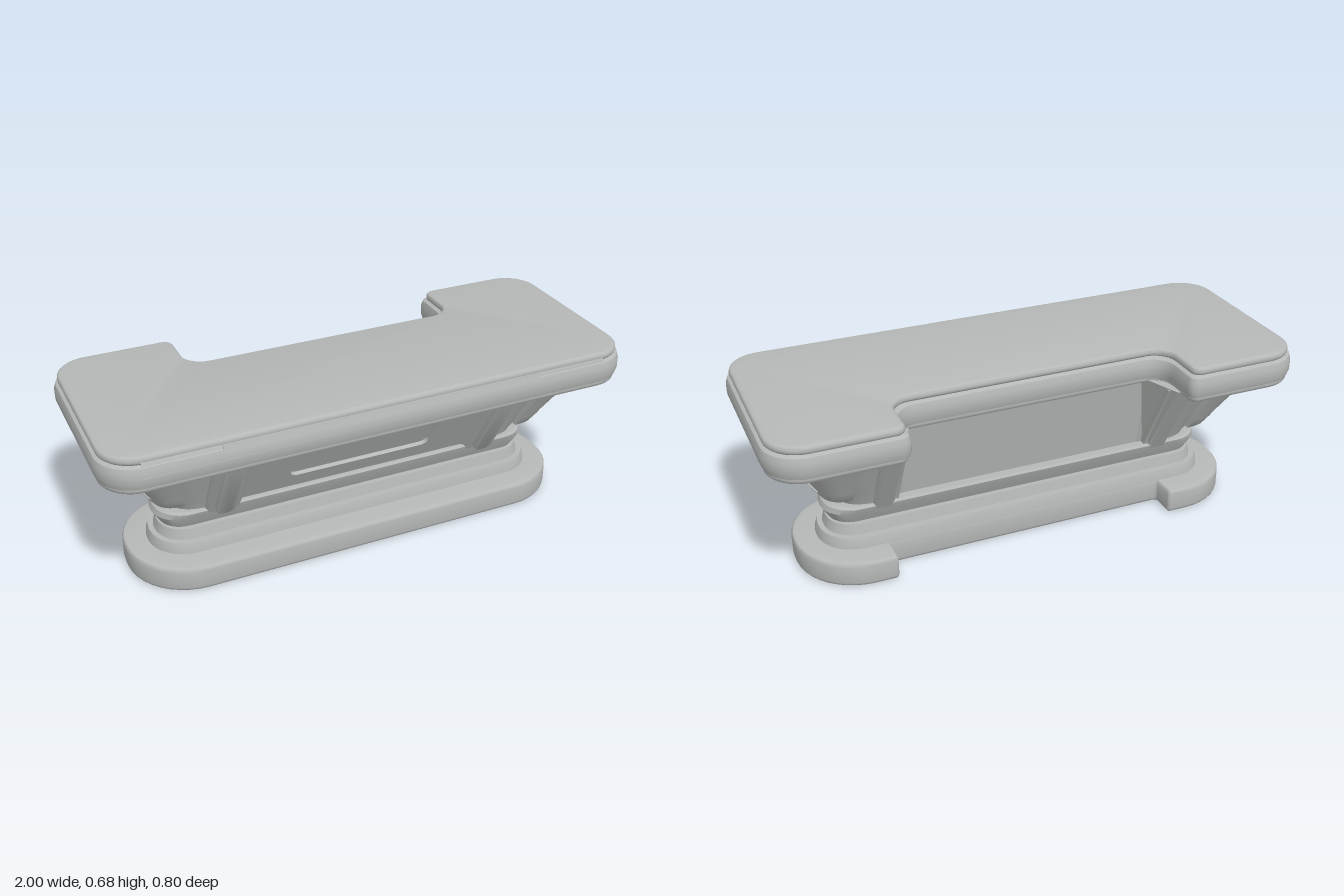
import * as THREE from 'three';
import { toCreasedNormals } from 'three/addons/utils/BufferGeometryUtils.js';

const grey = new THREE.MeshStandardMaterial({ color: 0xb5b8b6 });
grey.name = 'satin grey';

function add(parent, name, geometry) {
  const mesh = new THREE.Mesh(toCreasedNormals(geometry, 0.55), grey);
  mesh.name = name;
  parent.add(mesh);
  return mesh;
}

// Skin closed convex rings stacked from bottom to top, with both ends capped
function loft(rings) {
  const n = rings[0].length, pos = [], idx = [];
  for (const r of rings) for (const p of r) pos.push(...p);
  for (let i = 0; i < rings.length - 1; i++) {
    for (let j = 0; j < n; j++) {
      const a = i * n + j, b = i * n + (j + 1) % n;
      idx.push(a, b, b + n, a, b + n, a + n);
    }
  }
  const top = (rings.length - 1) * n;
  for (let j = 1; j < n - 1; j++) {
    idx.push(0, j + 1, j);
    idx.push(top, top + j, top + j + 1);
  }
  const g = new THREE.BufferGeometry();
  g.setAttribute('position', new THREE.Float32BufferAttribute(pos, 3));
  g.setIndex(idx);
  return g.toNonIndexed();
}

// Rounded rectangle ring, running front -> left -> back -> right
function roundRing(hx, hz, r, y) {
  const pts = [];
  for (let q = 0; q < 4; q++) {
    const sx = q < 2 ? 1 : -1, sz = q === 0 || q === 3 ? 1 : -1;
    for (let k = 0; k <= 8; k++) {
      const a = (q + k / 8) * Math.PI / 2;
      pts.push([sx * (hx - r) + r * Math.sin(a), y, sz * (hz - r) + r * Math.cos(a)]);
    }
  }
  return pts;
}

// Rounded end ring from a flat inner side at xs to the outer side at xo
function endRing(xs, xo, hz, y, recess = 0) {
  const pts = [];
  for (let d = 90; d >= -90; d -= 5) {
    const a = d * Math.PI / 180;
    const fx = Math.pow(Math.max(Math.cos(a), 0), 0.6);
    const fz = Math.sign(d) * Math.pow(Math.abs(Math.sin(a)), 0.6);
    const inset = Math.abs(d) <= 37 ? recess : 0;
    pts.push([xs + (xo - xs) * fx - inset, y, hz * fz]);
  }
  return pts;
}

// Polygon with individually rounded corners, each given as [x, y, radius]
function roundedShape(corners) {
  const s = new THREE.Shape(), n = corners.length;
  corners.forEach(([x, y, r], i) => {
    const p = new THREE.Vector2(x, y);
    const toward = (c) => new THREE.Vector2(c[0], c[1]).sub(p).setLength(r).add(p);
    const a = toward(corners[(i + n - 1) % n]), b = toward(corners[(i + 1) % n]);
    if (i === 0) s.moveTo(a.x, a.y); else s.lineTo(a.x, a.y);
    const k = 0.45; // cubic handles close to a circular arc
    s.bezierCurveTo(a.x + (p.x - a.x) * (1 - k) , a.y + (p.y - a.y) * (1 - k),
      b.x + (p.x - b.x) * (1 - k), b.y + (p.y - b.y) * (1 - k), b.x, b.y);
  });
  s.closePath();
  return s;
}

// Outline in plan with a cut-out in the back edge
function notchedShape(hx, hz, r, nx, nz, rOut, rIn) {
  return roundedShape([
    [-hx, -hz, r], [hx, -hz, r], [hx, hz, r], [nx, hz, rOut], [nx, nz, rIn],
    [-nx, nz, rIn], [-nx, hz, rOut], [-hx, hz, r]]);
}

// Horizontal slab between two heights with rounded rims
function slab(shape, y0, y1, bt, bs, segments = 3) {
  const g = new THREE.ExtrudeGeometry(shape, {
    depth: y1 - y0 - 2 * bt, bevelThickness: bt, bevelSize: bs, bevelOffset: -bs,
    bevelSegments: segments, curveSegments: 10 });
  return g.rotateX(-Math.PI / 2).translate(0, y0 + bt, 0);
}

export function createModel() {
  const model = new THREE.Group();
  model.name = 'receptionDesk';

  // Foot with its back cut-out, and two tapered tiers
  add(model, 'foot', slab(notchedShape(0.87, 0.25, 0.235, 0.55, 0.15, 0.012, 0.01), 0, 0.095, 0.014, 0.012));
  add(model, 'lowerTier', loft([roundRing(0.785, 0.155, 0.145, 0.09), roundRing(0.782, 0.152, 0.142, 0.115),
    roundRing(0.775, 0.146, 0.138, 0.135)]));
  add(model, 'upperTier', loft([roundRing(0.757, 0.121, 0.112, 0.13), roundRing(0.746, 0.112, 0.104, 0.175)]));

  // Belt around the bottom of the body
  add(model, 'beltRail', loft([roundRing(0.735, 0.09, 0.085, 0.17), roundRing(0.765, 0.118, 0.108, 0.222),
    roundRing(0.757, 0.127, 0.115, 0.244), roundRing(0.745, 0.122, 0.11, 0.252)]));

  // Recessed core between the end frames
  const box = (x, zf, zb, y) => [[-x, y, zf], [x, y, zf], [x, y, zb], [-x, y, zb]];
  add(model, 'bodyCore', loft([box(0.5, 0.05, -0.075, 0.175), box(0.5, 0.27, -0.145, 0.56)]));

  // Sloping front: framed panel and pilasters
  const front = new THREE.Group();
  front.name = 'slopedFront';
  front.position.set(0, 0.175, 0.09);
  front.rotation.x = Math.atan(0.215 / 0.375);
  model.add(front);
  const up = (y) => (y - 0.175) * 1.153;
  const panel = roundedShape([[-0.5, up(0.2), 0.01], [0.5, up(0.2), 0.01], [0.5, up(0.555), 0.01], [-0.5, up(0.555), 0.01]]);
  panel.holes.push(roundedShape([[-0.28, up(0.308), 0.03], [0.28, up(0.308), 0.03], [0.28, up(0.548), 0.005], [-0.28, up(0.548), 0.005]]));
  add(front, 'frontPanel', new THREE.ExtrudeGeometry(panel, { depth: 0.015, bevelEnabled: false }).translate(0, 0, -0.035));
  for (const s of [-1, 1]) {
    const strip = roundedShape([[-0.038, up(0.235), 0.034], [0.038, up(0.235), 0.034], [0.038, up(0.56), 0.004], [-0.038, up(0.56), 0.004]]);
    add(front, 'frontPilaster', new THREE.ExtrudeGeometry(strip, {
      depth: 0.022, bevelThickness: 0.006, bevelSize: 0.006, bevelOffset: -0.006, bevelSegments: 2 }).translate(s * 0.528, 0, -0.006));
  }

  // Ends: frame post, rounded neck and recessed shield
  for (const s of [1, -1]) {
    const end = new THREE.Group();
    end.name = s > 0 ? 'leftEnd' : 'rightEnd';
    end.scale.x = s;
    model.add(end);
    const post = (y, z, zb) => [[0.45, y, z - 0.025], [0.468, y, z], [0.585, y, z], [0.595, y, z - 0.012],
      [0.595, y, 0.012 - z], [0.585, y, -z], [0.53, y, -z], [0.518, y, 0.008 - z], [0.455, y, zb]];
    add(end, 'framePost', loft([post(0.175, 0.09, -0.072), post(0.56, 0.311, -0.14)]));
    add(end, 'endNeck', loft([endRing(0.5, 0.7, 0.115, 0.245), endRing(0.5, 0.705, 0.122, 0.262),
      endRing(0.5, 0.74, 0.142, 0.305), endRing(0.5, 0.86, 0.275, 0.555)]));
    add(end, 'endShield', loft([endRing(0.675, 0.768, 0.144, 0.3), endRing(0.676, 0.778, 0.15, 0.306),
      endRing(0.68, 0.805, 0.172, 0.343), endRing(0.681, 0.808, 0.176, 0.35),
      endRing(0.682, 0.813, 0.181, 0.36, 0.024), endRing(0.715, 0.937, 0.302, 0.56, 0.024)]));
  }

  // Layered worktop with a cut-out at the back
  const topShape = (d) => notchedShape(1 - d, 0.398 - d, 0.14 - d, 0.52 + d, 0.182 - d, 0.035, 0.08);
  add(model, 'worktopLowerLip', slab(topShape(0.01), 0.549, 0.59, 0.014, 0.012));
  add(model, 'worktopMiddle', slab(topShape(0), 0.562, 0.656, 0.03, 0.024, 2));
  add(model, 'worktopUpper', slab(topShape(0.015), 0.652, 0.683, 0.012, 0.012));

  // Sloped front fascia closing the groove, with a thin strip on it
  const profile = new THREE.Shape([[0.34, 0.6], [0.397, 0.6], [0.399, 0.612], [0.38, 0.672], [0.371, 0.682], [0.34, 0.682]]
    .map(([z, y]) => new THREE.Vector2(z, y)));
  add(model, 'frontFascia', new THREE.ExtrudeGeometry(profile, { depth: 1.74, bevelEnabled: false })
    .rotateY(-Math.PI / 2).translate(0.87, 0, 0));
  const strip = add(model, 'fasciaStrip', new THREE.BoxGeometry(1.2, 0.027, 0.008));
  strip.position.set(0, 0.647, 0.388);
  strip.rotation.x = -0.307;

  return model;
}
